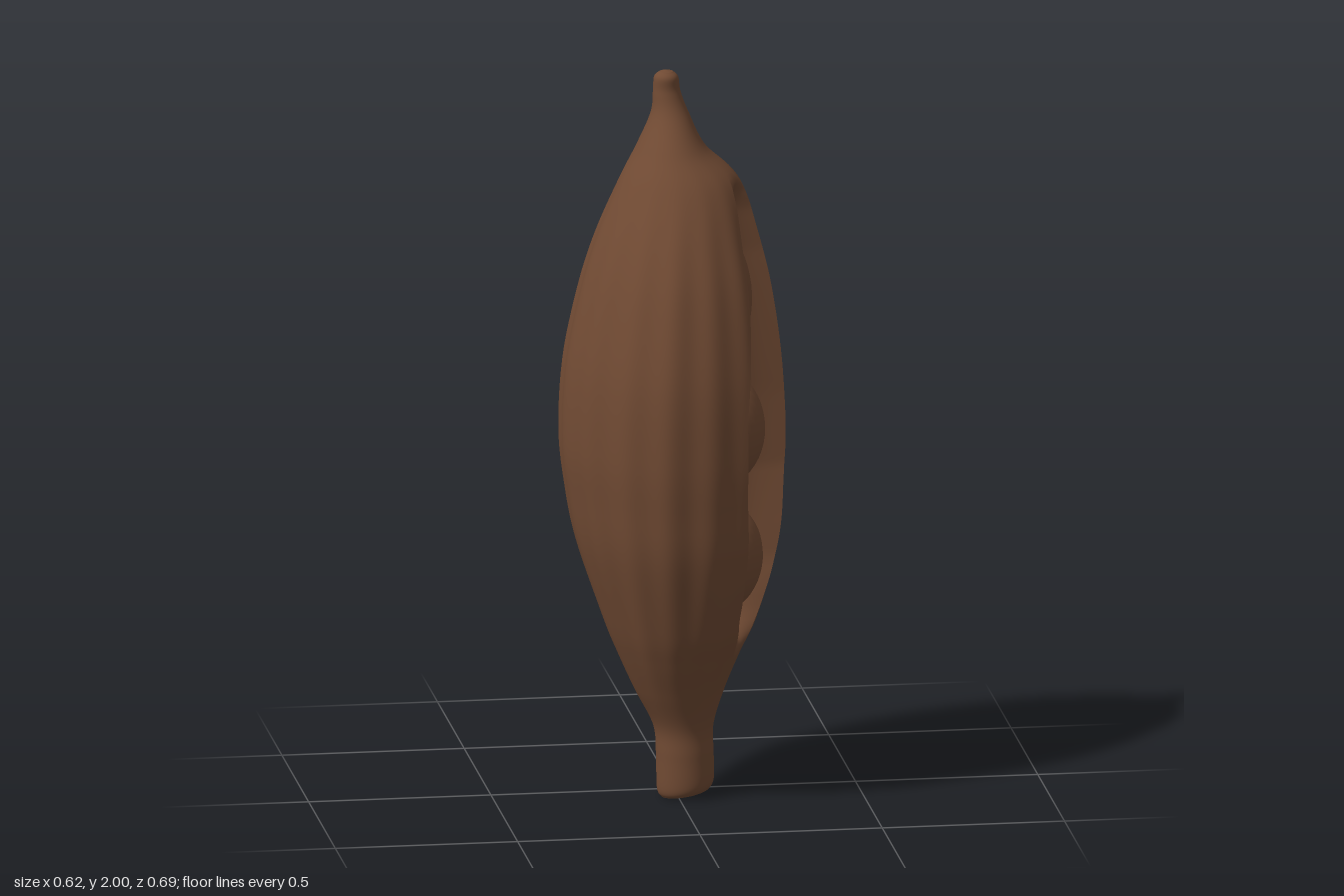
import * as THREE from 'three';

// Silhouette rows: height, x min, x max, z min, z max
const ROWS = [
  [0.0, -0.045, 0.088, 0.005, 0.14], [0.025, -0.055, 0.1, -0.005, 0.15],
  [0.12, -0.057, 0.1, -0.01, 0.15], [0.2, -0.065, 0.1, -0.02, 0.152],
  [0.3, -0.115, 0.13, -0.062, 0.188], [0.4, -0.16, 0.172, -0.12, 0.232],
  [0.5, -0.2, 0.22, -0.185, 0.272], [0.7, -0.265, 0.28, -0.28, 0.327],
  [0.85, -0.293, 0.3, -0.318, 0.343], [1.0, -0.307, 0.31, -0.336, 0.348],
  [1.2, -0.295, 0.3, -0.338, 0.334], [1.4, -0.253, 0.272, -0.315, 0.286],
  [1.55, -0.205, 0.235, -0.28, 0.226], [1.7, -0.14, 0.185, -0.217, 0.14],
  [1.79, -0.092, 0.096, -0.172, 0.064], [1.88, -0.052, 0.052, -0.125, -0.008],
  [1.94, -0.045, 0.03, -0.108, -0.034], [1.98, -0.042, 0.024, -0.105, -0.038],
  [1.995, -0.028, 0.01, -0.09, -0.053],
];
const CURVES = [1, 2, 3, 4].map(
  (c) => new THREE.SplineCurve(ROWS.map((r) => new THREE.Vector2(r[c], r[0])))
);

// Angles (degrees) of the two lips of the split: height, back lip, front lip
const LIPS = [
  [0.4, 28, 36], [0.45, 21, 43], [0.52, 12, 51], [0.65, 3, 55], [0.9, -3, 59],
  [1.1, -3, 59], [1.5, 0, 48], [1.62, 3, 43], [1.68, 8, 40], [1.73, 18, 34],
];

// Broad swellings and dents: angle, height, angular width, vertical width, amount
const BUMPS = [
  [-0.75, 0.97, 0.42, 0.38, 0.09], [-2.1, 1.0, 0.35, 0.5, -0.03],
  [-2.75, 1.0, 0.2, 0.5, 0.02], [2.5, 1.0, 0.25, 0.5, -0.025],
];

function lip(y, col) {
  if (y <= LIPS[0][0]) return THREE.MathUtils.degToRad(LIPS[0][col]);
  for (let i = 1; i < LIPS.length; i++) {
    const p = LIPS[i - 1], q = LIPS[i];
    if (y < q[0]) {
      const k = (y - p[0]) / (q[0] - p[0]);
      return THREE.MathUtils.degToRad(THREE.MathUtils.lerp(p[col], q[col], k));
    }
  }
  return THREE.MathUtils.degToRad(LIPS[LIPS.length - 1][col]);
}

// Elliptical cross-section with uneven lengthwise ribs
function outer(u, a) {
  const [x0, x1, z0, z1] = CURVES.map((c) => c.getPoint(u).x);
  const y = CURVES[0].getPoint(u).y;
  const swell = THREE.MathUtils.smoothstep(y, 0.2, 0.7) * (1 - THREE.MathUtils.smoothstep(y, 1.4, 1.82));
  const wobble = 0.35 * Math.sin(3 * y + 2 * a);
  let rib = 1 + swell * (0.012 * Math.sin(15 * a + wobble) + 0.007 * Math.sin(7 * a + 1 + wobble));
  for (const [angle, height, wide, tall, amount] of BUMPS) {
    const turn = Math.atan2(Math.sin(a - angle), Math.cos(a - angle));
    rib += amount * Math.exp(-((turn / wide) ** 2) - ((y - height) / tall) ** 2);
  }
  const x = (x0 + x1) / 2 + ((x1 - x0) / 2) * rib * Math.cos(a);
  const z = (z0 + z1) / 2 + ((z1 - z0) / 2) * rib * Math.sin(a);
  // the cut end of the stem slants upward toward +x
  const slant = 0.17 * (x + 0.05) * (1 - THREE.MathUtils.smoothstep(y, 0.01, 0.12));
  return new THREE.Vector3(x, y + slant, z);
}

// Hollow between the lips, closing smoothly below and abruptly above
function hollow(u, t) {
  const y = CURVES[0].getPoint(u).y;
  const a = lip(y, 1), b = lip(y, 2);
  const skin = outer(u, THREE.MathUtils.lerp(a, b, t));
  const open = THREE.MathUtils.smoothstep(y, 0.4, 0.53) * (1 - THREE.MathUtils.smoothstep(y, 1.65, 1.715));
  if (open === 0) return skin;
  const A = outer(u, a), B = outer(u, b);
  const inner = new THREE.CubicBezierCurve3(
    A,
    new THREE.Vector3(0.1, y, A.z + 0.01),
    new THREE.Vector3(B.x - 0.02, y, Math.min(0.02, B.z - 0.05)),
    B
  ).getPoint(t);
  return skin.lerp(inner, open);
}

// Surface from point(u, t), u running upward and t running around
function loft(rows, cols, point) {
  const pos = [], index = [];
  for (let i = 0; i <= rows; i++) {
    for (let j = 0; j <= cols; j++) {
      const p = point(i / rows, j / cols);
      pos.push(p.x, p.y, p.z);
      if (i < rows && j < cols) {
        const a = i * (cols + 1) + j, c = a + cols + 1;
        index.push(a, c, a + 1, a + 1, c, c + 1);
      }
    }
  }
  const g = new THREE.BufferGeometry();
  g.setAttribute('position', new THREE.Float32BufferAttribute(pos, 3));
  g.setIndex(index);
  g.computeVertexNormals();
  return g;
}

export function createModel() {
  const model = new THREE.Group();
  const brown = new THREE.MeshStandardMaterial({ color: 0x704a33, side: THREE.DoubleSide });
  brown.name = 'pod brown';
  const add = (name, geometry) => {
    const mesh = new THREE.Mesh(geometry, brown);
    mesh.name = name;
    model.add(mesh);
    return mesh;
  };

  // Ribbed outer husk, running from the front lip round to the back lip
  add('husk', loft(160, 150, (u, t) => {
    const y = CURVES[0].getPoint(u).y;
    return outer(u, THREE.MathUtils.lerp(lip(y, 2), lip(y, 1) + Math.PI * 2, t));
  }));

  // Open split with its inner walls
  add('hollow', loft(160, 28, hollow));

  // Dished stem end and rounded tip
  const cap = (u, rise) => {
    const middle = outer(u, 0).add(outer(u, Math.PI)).multiplyScalar(0.5);
    middle.y += rise;
    return (k, t) => {
      const p = outer(u, t * Math.PI * 2);
      return u === 0 ? middle.clone().lerp(p, k) : p.lerp(middle, k);
    };
  };
  add('stemEnd', loft(3, 40, cap(0, 0.012)));
  add('tipEnd', loft(3, 40, cap(1, 0.005)));

  // Three seeds resting in the split: x, y, z, radii, lean back, lean inward
  const seeds = [
    [0.085, 1.41, 0.05, 0.122, 0.2, 0.104, 0.1, 0.1],
    [0.102, 1.025, 0.064, 0.14, 0.17, 0.123, 0.05, 0],
    [0.108, 0.67, 0.09, 0.124, 0.16, 0.102, -0.08, -0.05],
  ];
  seeds.forEach(([x, y, z, rx, ry, rz, back, inward], i) => {
    const seed = add('seed' + (i + 1), new THREE.SphereGeometry(1, 36, 24));
    seed.position.set(x, y, z);
    seed.scale.set(rx, ry, rz);
    seed.rotation.set(-back, 0, inward);
  });

  return model;
}
